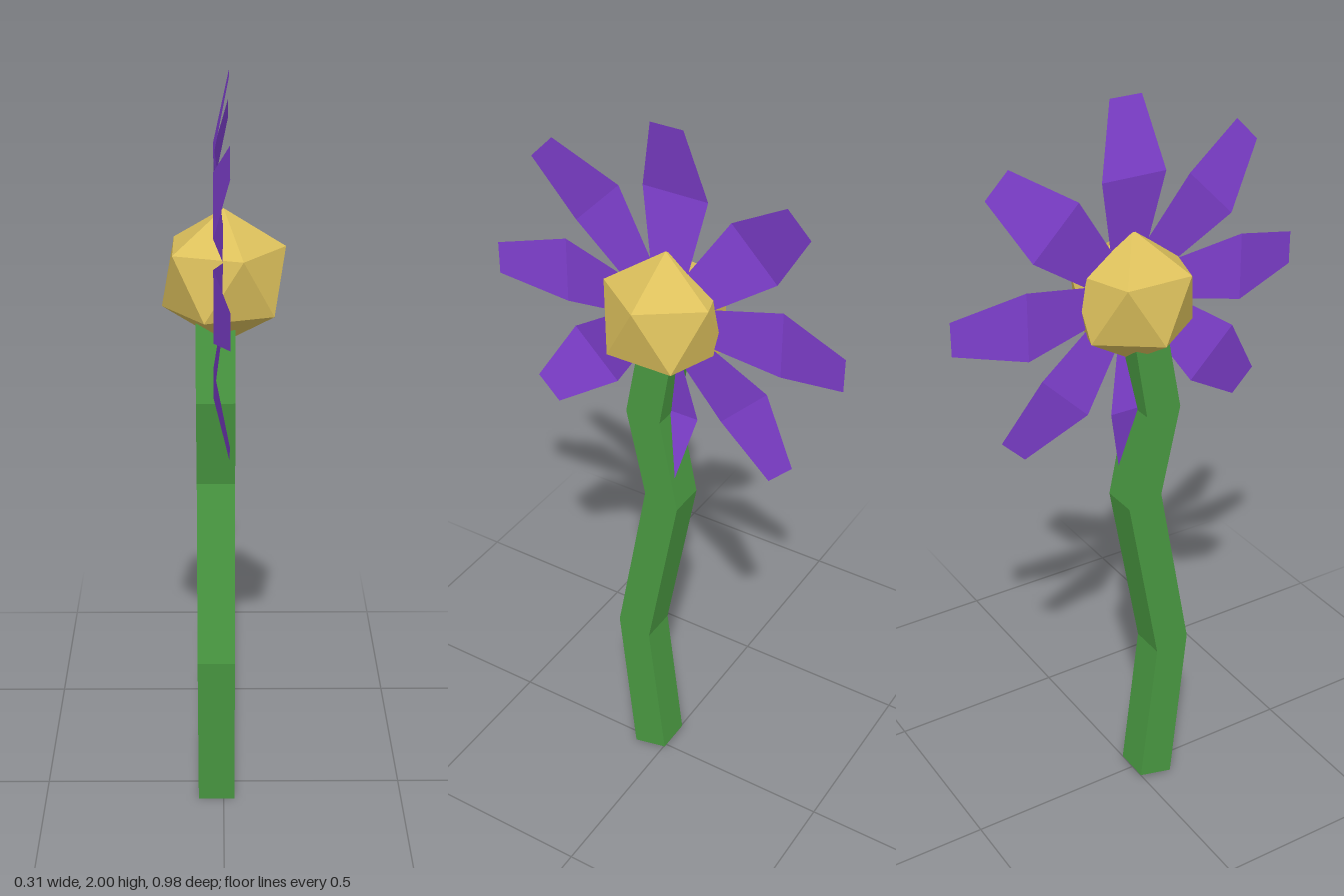
import * as THREE from 'three';

const paint = (color, side = THREE.FrontSide) =>
  new THREE.MeshStandardMaterial({ color, side, flatShading: true });

function buildGeometry(points, index) {
  const geometry = new THREE.BufferGeometry();
  geometry.setAttribute('position', new THREE.Float32BufferAttribute(points, 3));
  geometry.setIndex(index);
  const flat = geometry.toNonIndexed();
  flat.computeVertexNormals();
  return flat;
}

// Square stem that zigzags in z: [front z, front y, back z, back y] per section
function stemGeometry() {
  const sections = [
    [0.085, 0, -0.015, 0.025],
    [0.135, 0.467, 0.037, 0.447],
    [0.045, 0.955, -0.053, 0.938],
    [0.1, 1.2, 0, 1.195],
    [0.06, 1.41, -0.04, 1.43],
  ];
  const left = 0.03, right = -0.07;
  const points = [], index = [];
  for (const [zf, yf, zb, yb] of sections) {
    points.push(left, yf, zf, left, yb, zb, right, yb, zb, right, yf, zf);
  }
  for (let s = 0; s < sections.length - 1; s++) {
    for (let i = 0; i < 4; i++) {
      const a = s * 4 + i, b = s * 4 + (i + 1) % 4;
      index.push(a, b, b + 4, a, b + 4, a + 4);
    }
  }
  const t = (sections.length - 1) * 4;
  index.push(0, 2, 1, 0, 3, 2, t, t + 1, t + 2, t, t + 2, t + 3);
  return buildGeometry(points, index);
}

// Creased petal pointing up: [radius, half width, x] per row
function petalGeometry() {
  const rows = [[0.02, 0.032, 0.013], [0.307, 0.089, -0.025], [0.49, 0.044, 0.013]];
  const shift = -0.01;
  const points = [], index = [];
  for (const [r, w, x] of rows) points.push(x, r, shift + w, x, r, shift - w);
  for (let i = 0; i < rows.length - 1; i++) {
    const a = i * 2;
    index.push(a, a + 1, a + 3, a, a + 3, a + 2);
  }
  return buildGeometry(points, index);
}

// Icosahedron standing on a vertex: two poles and two staggered rings of five
function coreGeometry(radius) {
  const ring = radius * 2 / Math.sqrt(5), h = radius / Math.sqrt(5);
  const points = [0, radius, 0, 0, -radius, 0], index = [];
  for (let i = 0; i < 5; i++) {
    const a = i * Math.PI * 0.4, b = a + Math.PI * 0.2;
    points.push(ring * Math.cos(a), h, ring * Math.sin(a));
    points.push(ring * Math.cos(b), -h, ring * Math.sin(b));
    const u = 2 + i * 2, d = u + 1;
    const un = 2 + ((i + 1) % 5) * 2, dn = un + 1;
    index.push(0, un, u, u, un, d, d, un, dn, 1, d, dn);
  }
  return buildGeometry(points, index);
}

export function createModel() {
  const flower = new THREE.Group();
  flower.name = 'flower';

  const stem = new THREE.Mesh(stemGeometry(), paint(0x4a9a42));
  stem.name = 'stem';
  flower.add(stem);

  const core = new THREE.Mesh(coreGeometry(0.173), paint(0xdcc05c));
  core.name = 'flowerCentre';
  core.position.y = 1.502;
  flower.add(core);

  // Eight petals around the x axis
  const petals = new THREE.Group();
  petals.name = 'petals';
  petals.position.y = 1.51;
  const shape = petalGeometry();
  const purple = paint(0x8040d0, THREE.DoubleSide);
  for (let i = 0; i < 8; i++) {
    const petal = new THREE.Mesh(shape, purple);
    petal.name = `petal${i + 1}`;
    petal.rotation.x = i * Math.PI / 4;
    petals.add(petal);
  }
  flower.add(petals);

  return flower;
}
